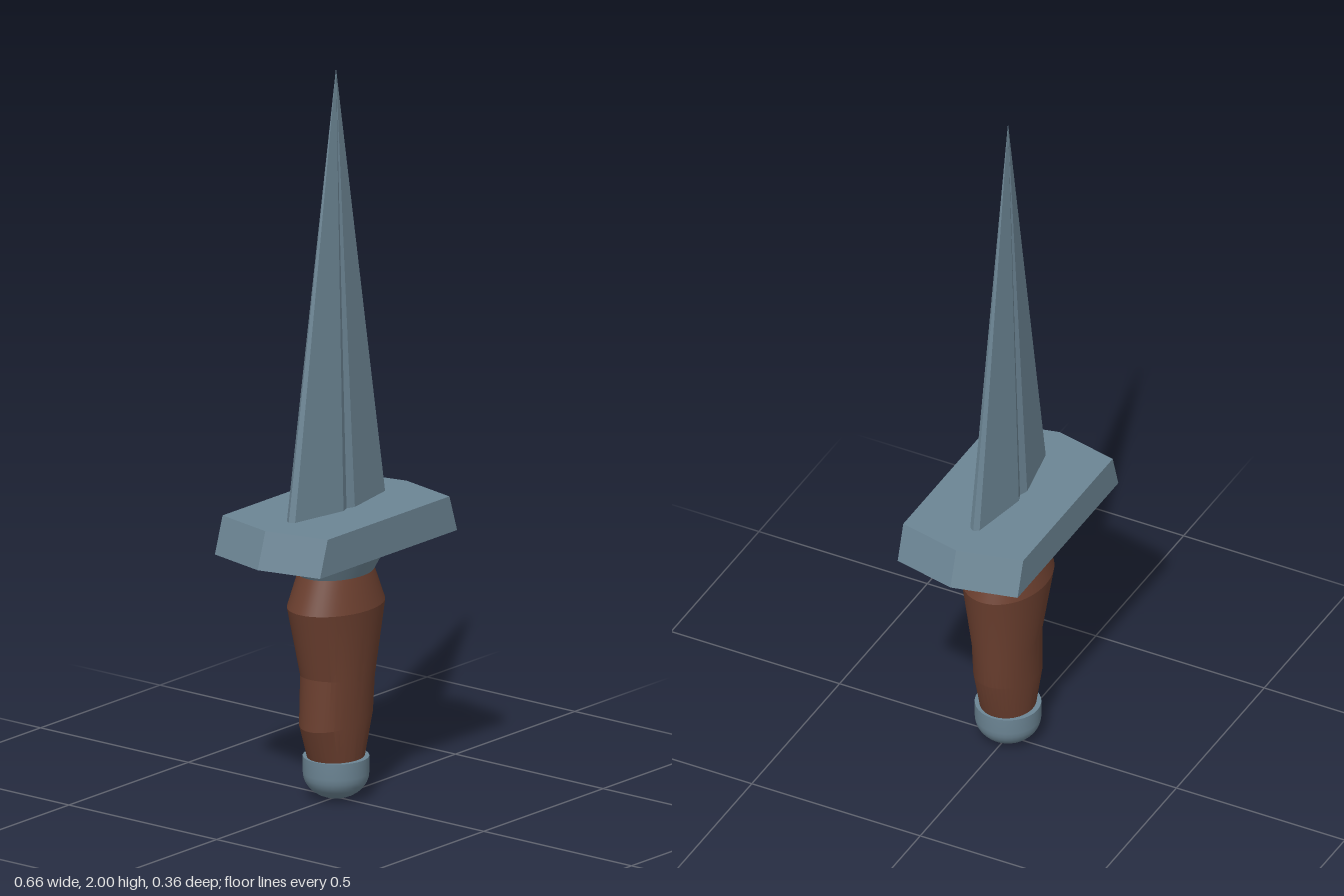
import * as THREE from 'three';
import { toCreasedNormals } from 'three/addons/utils/BufferGeometryUtils.js';

// Joins cross-sections (bottom to top, counterclockwise from above) and caps both ends.
function loft(rings, crease) {
  const pos = [];
  const tri = (...pts) => pts.forEach((p) => pos.push(...p));
  const n = rings[0].length;
  const centre = (ring) => [0, 1, 2].map((k) => ring.reduce((s, p) => s + p[k], 0) / n);
  const first = rings[0], last = rings[rings.length - 1];
  const c0 = centre(first), c1 = centre(last);
  for (let j = 0; j < n; j++) {
    const k = (j + 1) % n;
    for (let i = 0; i < rings.length - 1; i++) {
      const lo = rings[i], hi = rings[i + 1];
      tri(lo[j], lo[k], hi[k]);
      tri(lo[j], hi[k], hi[j]);
    }
    tri(first[k], first[j], c0);
    tri(last[j], last[k], c1);
  }
  const geo = new THREE.BufferGeometry();
  geo.setAttribute('position', new THREE.Float32BufferAttribute(pos, 3));
  return toCreasedNormals(geo, crease);
}

// Oval ring: centre x, height, half width, half depth, and tilt (rise towards +x).
function oval(cx, y, rx, rz, tilt = 0, sides = 48) {
  return Array.from({ length: sides }, (_, i) => {
    const a = (i / sides) * Math.PI * 2;
    return [cx + rx * Math.cos(a), y + tilt * Math.cos(a), -rz * Math.sin(a)];
  });
}

export function createModel() {
  const group = new THREE.Group();
  const steel = new THREE.MeshStandardMaterial({ color: 0x6c8594 });
  const leather = new THREE.MeshStandardMaterial({ color: 0x6b3f2f });
  steel.name = 'steel';
  leather.name = 'brown leather';

  const add = (name, geometry, material) => {
    const mesh = new THREE.Mesh(geometry, material);
    mesh.name = name;
    group.add(mesh);
  };

  // Blade: thin diamond section with blunt edges and a central groove, tapering to a point
  const half = [[0.2, 0], [0.19, -0.014], [0.024, -0.045], [0, -0.036],
    [-0.024, -0.045], [-0.19, -0.014]];
  const section = [...half, ...half.map(([x, z]) => [-x, -z])];
  const bladeRing = (y, s) => section.map(([x, z]) => [x * s, y, z * s]);
  add('blade', loft([bladeRing(0.79, 1), bladeRing(2, 0.004)], 0.02), steel);

  // Guard: six-sided plate with sloping pointed ends
  const guardRing = (y, tip, corner) => [[tip, 0], [corner, -0.178], [-corner, -0.178],
    [-tip, 0], [-corner, 0.178], [corner, 0.178]].map(([x, z]) => [x, y, z]);
  add('guard', loft([guardRing(0.7, 0.328, 0.287), guardRing(0.8, 0.296, 0.255)], 0.1), steel);

  // Collar flaring up to the guard
  add('collar', loft([oval(0, 0.62, 0.113, 0.088), oval(0, 0.702, 0.168, 0.127)], 0.22), steel);

  // Grip: uneven oval handle
  add('grip', loft([
    oval(0, 0.1, 0.076, 0.072),
    oval(0, 0.22, 0.115, 0.084, 0.015),
    oval(0.006, 0.335, 0.115, 0.086, -0.012),
    oval(0, 0.535, 0.152, 0.113),
    oval(0, 0.627, 0.116, 0.09),
  ], 0.22), leather);

  // Pommel: rounded cap with a flat top
  const profile = [];
  for (let i = 0; i <= 8; i++) {
    const a = (i / 8) * Math.PI / 2;
    profile.push(new THREE.Vector2(0.088 * Math.sin(a), 0.07 - 0.07 * Math.cos(a)));
  }
  profile.push(new THREE.Vector2(0.088, 0.115), new THREE.Vector2(0, 0.115));
  add('pommel', toCreasedNormals(new THREE.LatheGeometry(profile, 32), 0.6), steel);

  return group;
}
